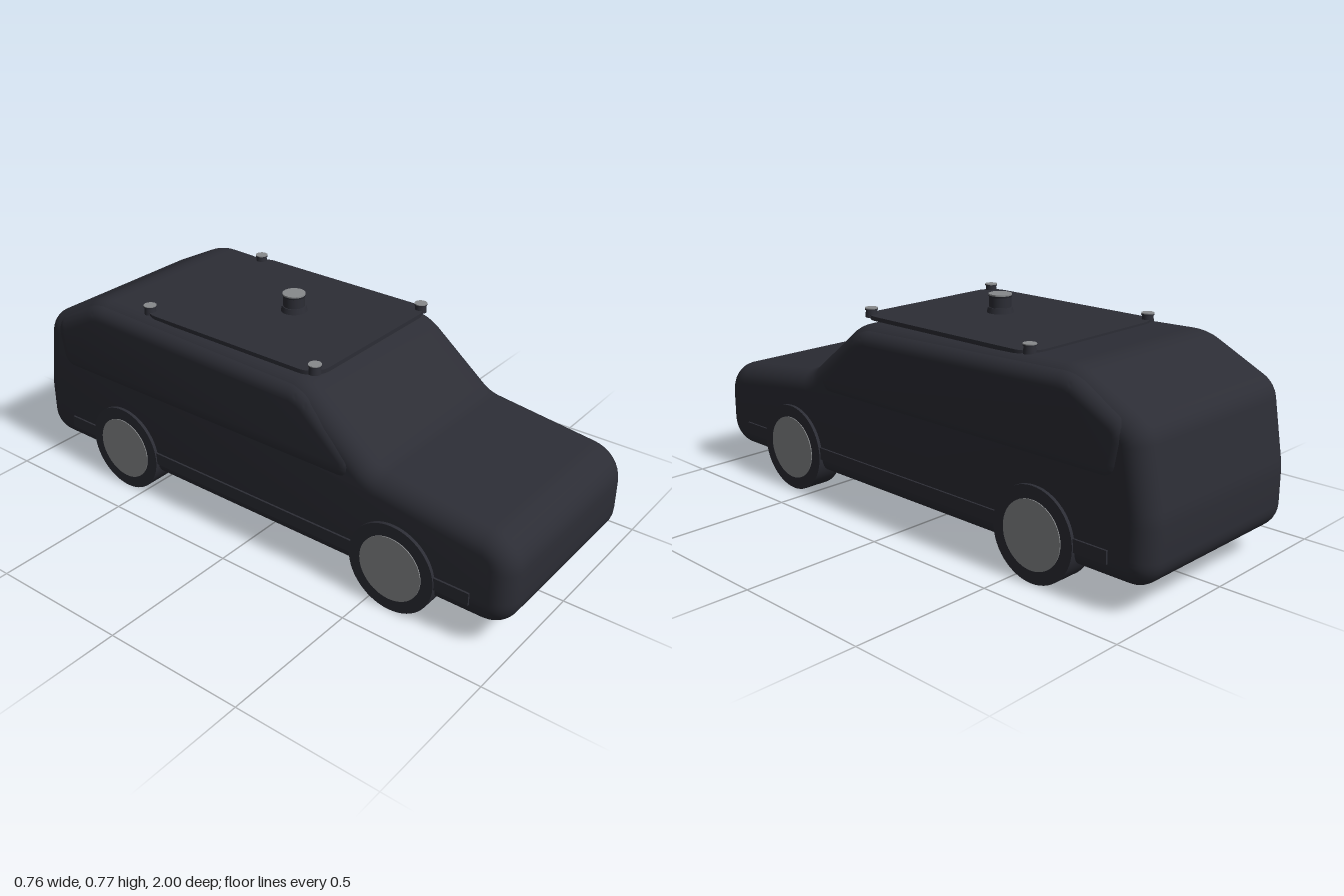
import * as THREE from 'three';
import { toCreasedNormals } from 'three/addons/utils/BufferGeometryUtils.js';

const paint = new THREE.MeshStandardMaterial({ color: 0x2c2d35 });
paint.name = 'dark paint';
const metal = new THREE.MeshStandardMaterial({ color: 0x888a8c });
metal.name = 'grey metal';

// Polygon whose corners [x, y, radius] are replaced by arcs
function roundedShape(corners, steps = 8) {
  const pts = [];
  corners.forEach(([x, y, r], i) => {
    const p = new THREE.Vector2(x, y);
    const toward = (c) => new THREE.Vector2(c[0], c[1]).sub(p).normalize();
    const a = toward(corners[(i + corners.length - 1) % corners.length]);
    const b = toward(corners[(i + 1) % corners.length]);
    const half = Math.acos(THREE.MathUtils.clamp(a.dot(b), -1, 1)) / 2;
    const centre = a.clone().add(b).normalize().multiplyScalar(r / Math.sin(half)).add(p);
    const d = r / Math.tan(half);
    const start = a.multiplyScalar(d).add(p).sub(centre);
    const end = b.multiplyScalar(d).add(p).sub(centre);
    const a0 = Math.atan2(start.y, start.x);
    let sweep = Math.atan2(end.y, end.x) - a0;
    sweep = Math.atan2(Math.sin(sweep), Math.cos(sweep));
    for (let k = 0; k <= steps; k++) {
      const t = a0 + (sweep * k) / steps;
      pts.push(new THREE.Vector2(centre.x + r * Math.cos(t), centre.y + r * Math.sin(t)));
    }
  });
  return new THREE.Shape(pts);
}

// Side profile (z, y) swept across the width, with rounded flanks
function sweepAcross(corners, width, bevel) {
  const geo = new THREE.ExtrudeGeometry(roundedShape(corners), {
    depth: width - 2 * bevel, bevelThickness: bevel, bevelSize: bevel,
    bevelOffset: -bevel, bevelSegments: 8,
  });
  geo.translate(0, 0, bevel - width / 2);
  geo.rotateY(-Math.PI / 2);
  return toCreasedNormals(geo, 0.6);
}

function add(parent, name, geo, mat, x = 0, y = 0, z = 0) {
  const mesh = new THREE.Mesh(geo, mat);
  mesh.name = name;
  mesh.position.set(x, y, z);
  parent.add(mesh);
  return mesh;
}

const cylinder = (top, bottom, h, n = 40) => new THREE.CylinderGeometry(top, bottom, h, n);

export function createModel() {
  const car = new THREE.Group();
  car.name = 'car';

  // Main shell: nose, bonnet, windscreen, roof and tail
  add(car, 'body', sweepAcross([
    [1, 0.085, 0.1], [1, 0.393, 0.12], [0.5, 0.457, 0.12], [0.237, 0.668, 0.18],
    [-0.7, 0.692, 0.2], [-0.955, 0.565, 0.1], [-1, 0.3, 0.3], [-1, 0.085, 0.09],
  ], 0.73, 0.07), paint);

  // Slightly wider cabin with the side glass
  add(car, 'cabin', sweepAcross([
    [0.53, 0.38, 0.06], [0.23, 0.655, 0.15], [-0.7, 0.68, 0.18],
    [-0.92, 0.565, 0.08], [-0.885, 0.38, 0.07],
  ], 0.74, 0.05), paint);

  for (const side of [1, -1]) {
    add(car, 'sideSkirt', new THREE.BoxGeometry(0.02, 0.043, 1.72), paint, side * 0.362, 0.168, 0.005);

    // Wheels with grey hubs showing on both faces
    for (const z of [0.587, -0.577]) {
      const wheel = new THREE.Group();
      wheel.name = 'wheel';
      wheel.position.set(side * 0.328, 0.157, z);
      wheel.rotation.z = Math.PI / 2;
      add(wheel, 'tire', cylinder(0.157, 0.157, 0.098, 56), paint);
      add(wheel, 'hub', cylinder(0.114, 0.114, 0.104, 48), metal);
      car.add(wheel);
    }

    // Rails carrying the roof plate
    add(car, 'roofRail', new THREE.BoxGeometry(0.03, 0.012, 0.3), paint, side * 0.22, 0.679, 0.05);

    // Small sensors on the plate corners
    for (const z of [0.227, -0.485]) {
      const sensor = new THREE.Group();
      sensor.name = 'cornerSensor';
      sensor.position.set(side * 0.291, 0, z);
      add(sensor, 'sensorPost', cylinder(0.018, 0.021, 0.026, 24), paint, 0, 0.697);
      add(sensor, 'sensorRim', cylinder(0.022, 0.022, 0.004, 24), paint, 0, 0.711);
      add(sensor, 'sensorCap', cylinder(0.022, 0.022, 0.003, 24), metal, 0, 0.7145);
      car.add(sensor);
    }
  }

  // Roof plate with rounded corners
  const plate = new THREE.ExtrudeGeometry(roundedShape([
    [0.315, 0.51, 0.07], [-0.315, 0.51, 0.07], [-0.315, -0.25, 0.07], [0.315, -0.25, 0.07],
  ]), { depth: 0.014, bevelEnabled: false });
  plate.rotateX(-Math.PI / 2);
  add(car, 'roofPlate', toCreasedNormals(plate, 0.6), paint, 0, 0.68, 0);

  // Central scanner turret
  const scanner = new THREE.Group();
  scanner.name = 'scanner';
  scanner.position.set(0, 0, -0.092);
  add(scanner, 'scannerBase', cylinder(0.041, 0.045, 0.018), paint, 0, 0.713);
  add(scanner, 'scannerDrum', cylinder(0.037, 0.037, 0.04), paint, 0, 0.74);
  add(scanner, 'scannerRim', cylinder(0.04, 0.038, 0.006), paint, 0, 0.759);
  add(scanner, 'scannerCap', cylinder(0.039, 0.039, 0.005), metal, 0, 0.7645);
  car.add(scanner);

  return car;
}
